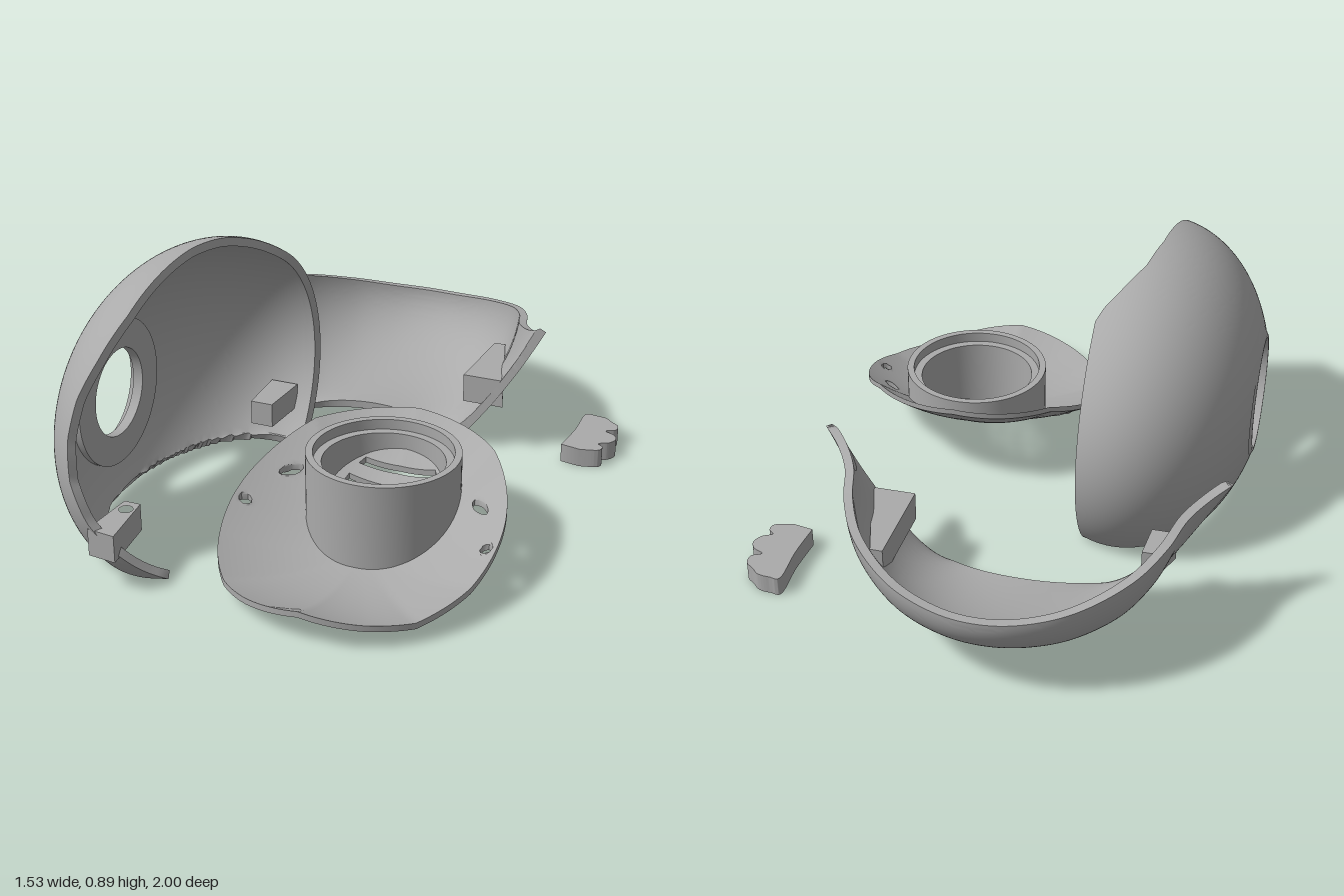
import * as THREE from 'three';
import { toCreasedNormals } from 'three/addons/utils/BufferGeometryUtils.js';

const grey = new THREE.MeshStandardMaterial({ color: 0xaaaaaa });
grey.name = 'plain grey';

function addMesh(parent, name, geometry, crease = 0.6) {
  const mesh = new THREE.Mesh(toCreasedNormals(geometry, crease), grey);
  mesh.name = name;
  parent.add(mesh);
  return mesh;
}

// Shell of even thickness from a grid of points: trimmed by planes, pierced by oval holes, edges closed.
function shell({ point, nu, nv, closed = false, thickness, trim = () => false, holes = [], skip = () => false, up = false }) {
  const cols = closed ? nu : nu + 1, pts = [], flags = [];
  for (let j = 0; j <= nv; j++) for (let i = 0; i < cols; i++) {
    const p = point(i / nu, j / nv, i, j);
    let flag = trim(p) ? 1 : 0;
    holes.forEach((h, k) => {
      const [m, n] = h.axes, c = Math.cos(h.turn || 0), s = Math.sin(h.turn || 0);
      const a = p.getComponent(m) - h.at[0], b = p.getComponent(n) - h.at[1];
      const e = (a * c + b * s) / h.size[0], f = (b * c - a * s) / h.size[1], d = Math.hypot(e, f);
      if (d >= 1) return;
      const g = d || 1, x = e / g * h.size[0], y = f / g * h.size[1];
      p.setComponent(m, h.at[0] + x * c - y * s);
      p.setComponent(n, h.at[1] + x * s + y * c);
      flag = k + 2;
    });
    pts.push(p);
    flags.push(flag);
  }
  const index = [], edges = new Map();
  const tri = (a, b, c) => {
    if (flags[a] && flags[a] === flags[b] && flags[a] === flags[c]) return;
    index.push(a, b, c);
    for (const [p, q] of [[a, b], [b, c], [c, a]]) {
      if (!edges.delete(q + '_' + p)) edges.set(p + '_' + q, [p, q]);
    }
  };
  for (let j = 0; j < nv; j++) for (let i = 0; i < nu; i++) {
    if (skip(i, j)) continue;
    const k = (i + 1) % cols, a = j * cols + i, b = j * cols + k;
    tri(a, b + cols, b);
    tri(a, a + cols, b + cols);
  }
  const outer = new THREE.BufferGeometry().setFromPoints(pts);
  outer.setIndex(index);
  outer.computeVertexNormals();
  const normal = new THREE.Vector3(), N = pts.length;
  const inner = pts.map((p, i) => {
    if (up) normal.set(0, -1, 0);
    else normal.fromBufferAttribute(outer.attributes.normal, i);
    const q = p.clone().addScaledVector(normal, -thickness);
    trim(q);
    return q;
  });
  const all = index.slice();
  for (let i = 0; i < index.length; i += 3) all.push(index[i] + N, index[i + 2] + N, index[i + 1] + N);
  for (const [p, q] of edges.values()) all.push(q, p, p + N, q, p + N, q + N);
  const geometry = new THREE.BufferGeometry().setFromPoints(pts.concat(inner));
  geometry.setIndex(all);
  geometry.computeVertexNormals();
  return geometry;
}

// Upright block with a floor plan given as [x, z] corners
function block(corners, y0, y1, hole, smooth = false) {
  const v = corners.map(([x, z]) => new THREE.Vector2(x, -z));
  const shape = new THREE.Shape();
  if (smooth) {
    shape.moveTo(v[0].x, v[0].y);
    shape.splineThru(v.slice(1));
    shape.closePath();
  } else shape.setFromPoints(v);
  if (hole) shape.holes.push(new THREE.Path().absarc(hole[0], -hole[1], hole[2], 0, Math.PI * 2, true));
  return new THREE.ExtrudeGeometry(shape, { depth: y1 - y0, bevelEnabled: false, curveSegments: 20 })
    .rotateX(-Math.PI / 2).translate(0, y0, 0);
}

const lathe = profile => new THREE.LatheGeometry(profile.map(p => new THREE.Vector2(...p)), 72);

// Piecewise smooth lookup through [key, value] pairs
function lookup(table, key) {
  if (key <= table[0][0]) return table[0][1];
  for (let i = 1; i < table.length; i++) {
    if (key <= table[i][0]) {
      const [k0, v0] = table[i - 1], [k1, v1] = table[i];
      return THREE.MathUtils.lerp(v0, v1, (key - k0) / (k1 - k0));
    }
  }
  return table[table.length - 1][1];
}

// Large dome standing on its cut edge, with a round opening in its side
function makeDome() {
  const group = new THREE.Group();
  group.name = 'domeShell';
  const cx = -0.37, rx = 0.42, cy = 0.345, ry = 0.55, cz = 0.35, rz = 0.65;
  const rim = [[-90, -0.26], [-50, -0.26], [-38, -0.28], [-24, -0.38], [-13, -0.465], [0, -0.52], [14, -0.535],
    [28, -0.52], [40, -0.48], [56, -0.44], [90, -0.41], [104, -0.38], [115, -0.32], [121, -0.28], [126, -0.26], [270, -0.26]];
  const point = (u, v) => {
    const deg = -90 + 360 * u, phi = THREE.MathUtils.degToRad(deg);
    const end = Math.acos((cx - lookup(rim, deg)) / rx);
    const t = THREE.MathUtils.lerp(0.36, end, v);
    return new THREE.Vector3(cx - rx * Math.cos(t), cy + ry * Math.sin(t) * Math.sin(phi), cz + rz * Math.sin(t) * Math.cos(phi));
  };
  const trim = p => {
    p.x = Math.min(p.x, -0.26);
    if (p.y > 0) return false;
    p.y = 0;
    return true;
  };
  addMesh(group, 'domeWall', shell({ point, nu: 160, nv: 56, closed: true, thickness: 0.028, trim }));
  // stepped ring around the opening
  const ring = lathe([[0.15, 0.7], [0.25, 0.7], [0.25, 0.74], [0.2, 0.768], [0.19, 0.768], [0.19, 0.735], [0.15, 0.735], [0.15, 0.7]]);
  addMesh(group, 'openingRing', ring.rotateZ(Math.PI / 2).translate(0, 0.35, 0.36));
  addMesh(group, 'frontBracket', block([[-0.455, 0.765], [-0.4, 0.765], [-0.375, 0.97], [-0.47, 0.96]], 0.11, 0.2, [-0.425, 0.81, 0.022]));
  addMesh(group, 'rearBracket', block([[-0.42, -0.04], [-0.34, -0.04], [-0.33, -0.23], [-0.43, -0.23]], 0.11, 0.195));
  return group;
}

// Curved bowl-like shell at the back
function makeBowl() {
  const group = new THREE.Group();
  group.name = 'bowlShell';
  const mid = -0.12;
  const half = [[0.65, 0.48, -0.375], [0.595, 0.455, -0.43], [0.54, 0.435, -0.52], [0.5, 0.415, -0.65],
    [0.425, 0.385, -0.79], [0.28, 0.345, -0.92], [0.13, 0.322, -0.982]];
  const row = [...half, [0, 0.317, -1], ...half.slice().reverse().map(([x, y, z]) => [-x, y, z])];
  const edge = new THREE.CatmullRomCurve3(row.map(([x, y, z]) => new THREE.Vector3(mid + x, y, z)));
  const point = (u, v) => {
    const w = 1 - 2 * u, top = edge.getPoint(u), a = v * Math.PI / 2;
    const bulge = 1 - 0.85 * Math.abs(w) ** 3;
    const h = THREE.MathUtils.lerp(1 - v, Math.cos(a), bulge);
    const g = THREE.MathUtils.lerp(1 - v, 1 - Math.sin(a), bulge);
    const low = new THREE.Vector3(mid + 0.33 * w, 0.03 * (1 - w * w), -0.46 + 0.085 * w * w);
    return new THREE.Vector3(
      THREE.MathUtils.lerp(low.x, top.x, h), THREE.MathUtils.lerp(low.y, top.y, g), THREE.MathUtils.lerp(low.z, top.z, h));
  };
  const trim = p => {
    p.z = Math.min(p.z, -0.375);
    p.y = Math.max(p.y, 0);
    return false;
  };
  const holes = [{ axes: [2, 1], at: [-0.435, 0.22], size: [0.02, 0.02] }];
  addMesh(group, 'bowlWall', shell({ point, nu: 150, nv: 50, thickness: 0.028, trim, holes }));
  addMesh(group, 'leftBracket', block([[0.25, -0.69], [0.29, -0.69], [0.385, -0.38], [0.24, -0.38]], 0.17, 0.27));
  addMesh(group, 'rightBracket', block([[-0.56, -0.5], [-0.52, -0.5], [-0.53, -0.38], [-0.61, -0.38]], 0.17, 0.27));
  return group;
}

// Curved oval plate with a vented round socket
function makeVentPlate() {
  const group = new THREE.Group();
  group.name = 'ventPlate';
  const cx = 0.235, cz = 0.52, rx = 0.435, rz = 0.48, sz = 0.35;
  const rimY = [[-90, 0.305], [-45, 0.275], [-20, 0.2], [0, 0.145], [20, 0.085], [45, 0.045], [65, 0.062], [90, 0.09]];
  const plateY = (x, z) => {
    const a = Math.abs(x - cx) / rx, b = (z - cz) / rz, f = Math.hypot(a, b), s = f ? b / f : 0;
    const rim = lookup(rimY, THREE.MathUtils.radToDeg(Math.atan2(b, a)));
    return Math.max(0, 0.025 - 0.12 * b + f * f * (rim - 0.025 + 0.12 * s));
  };
  const on = (x, z) => new THREE.Vector3(x, plateY(x, z), z);
  const holes = [-1, 1].flatMap(s => [
    { axes: [0, 2], at: [cx + s * 0.4, 0.52], size: [0.021, 0.021] },
    { axes: [0, 2], at: [cx + s * 0.32, 0.348], size: [0.042, 0.016], turn: s * 0.75 },
  ]);
  addMesh(group, 'plate', shell({
    nu: 200, nv: 26, closed: true, thickness: 0.02, up: true, holes,
    point: (u, v) => {
      const a = u * Math.PI * 2, c = Math.cos(a), s = Math.sin(a);
      return on(cx + c * THREE.MathUtils.lerp(0.215, rx, v), THREE.MathUtils.lerp(sz + 0.215 * s, cz + rz * s, v));
    },
  }));
  // slotted floor of the socket
  const rows = [-0.2, ...[-2, -1, 0, 1, 2].flatMap(k => [k * 0.066 - 0.012, k * 0.066 + 0.012]), 0.2];
  addMesh(group, 'slottedFloor', shell({
    nu: rows.length - 1, nv: 24, thickness: 0.02, up: true,
    skip: (i, j) => i % 2 === 1 && j >= 3 && j < 21,
    point: (u, v, i) => on(cx + (2 * v - 1) * Math.sqrt(0.215 ** 2 - rows[i] ** 2), sz + rows[i]),
  }));
  // socket wall whose foot follows the plate
  const socket = lathe([[0.195, 0], [0.245, 0], [0.245, 0.315], [0.222, 0.315], [0.222, 0.28], [0.195, 0.28], [0.195, 0]])
    .translate(cx, 0, sz);
  const pos = socket.attributes.position;
  for (let i = 0; i < pos.count; i++) {
    if (pos.getY(i) === 0) pos.setY(i, plateY(pos.getX(i), pos.getZ(i)) + 0.01);
  }
  addMesh(group, 'socketWall', socket);
  return group;
}

export function createModel() {
  const model = new THREE.Group();
  model.name = 'shellParts';
  model.add(makeDome(), makeBowl(), makeVentPlate());
  // small scalloped clip
  addMesh(model, 'scallopedClip', block([[0.6, -0.39], [0.612, -0.52], [0.612, -0.65], [0.65, -0.658], [0.69, -0.652],
    [0.715, -0.63], [0.745, -0.605], [0.745, -0.57], [0.715, -0.55], [0.75, -0.53], [0.765, -0.5], [0.75, -0.465],
    [0.718, -0.445], [0.737, -0.425], [0.73, -0.395], [0.67, -0.377]], 0, 0.065, null, true));
  return model;
}
